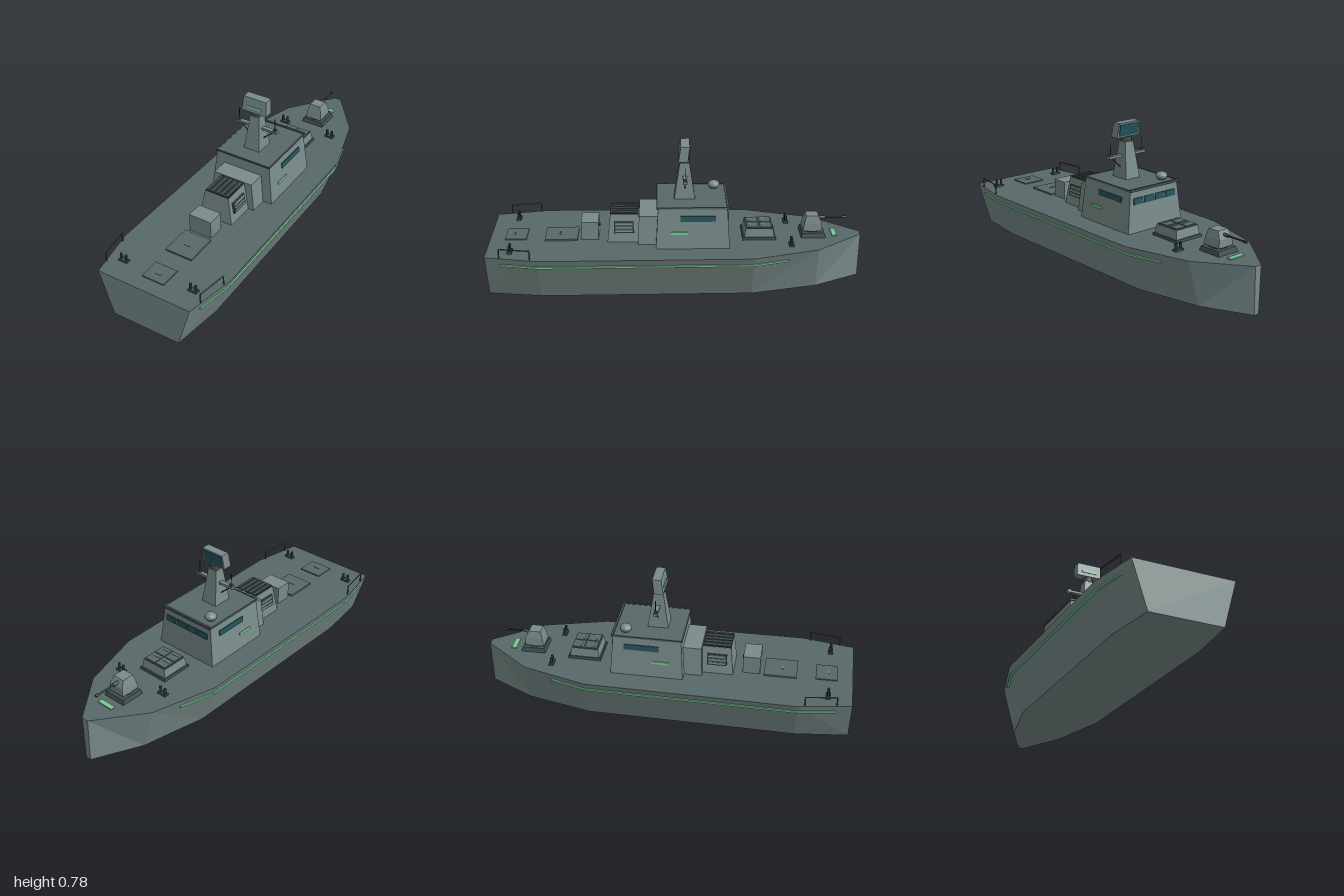
import * as THREE from 'three';

const mat = (name, color) => Object.assign(new THREE.MeshStandardMaterial({ color }), { name });

export function createModel() {
  const hullGrey = mat('hull grey', 0x7a8c8b);
  const deckGrey = mat('deck grey', 0x586868);
  const darkSteel = mat('dark steel', 0x2b3434);
  const trimGrey = mat('trim grey', 0x435050);
  const glass = mat('teal glass', 0x24545e);
  const green = mat('marking green', 0x78c898);
  const ship = new THREE.Group();
  ship.name = 'patrolShip';

  function add(name, geo, material, x = 0, y = 0, z = 0, parent = ship) {
    const m = new THREE.Mesh(geo, material);
    m.name = name;
    m.position.set(x, y, z);
    parent.add(m);
    return m;
  }
  const box = (name, material, w, h, d, x, y, z) => add(name, new THREE.BoxGeometry(w, h, d), material, x, y, z);

  // Block with sloping sides: b and t are [halfWidth, zMin, zMax] at heights y0 and y1
  function taper(name, material, y0, y1, b, t) {
    const box = new THREE.BoxGeometry(1, 1, 1);
    const p = box.attributes.position;
    for (let i = 0; i < p.count; i++) {
      const up = p.getY(i) > 0, s = up ? t : b;
      p.setXYZ(i, Math.sign(p.getX(i)) * s[0], up ? y1 : y0, p.getZ(i) < 0 ? s[1] : s[2]);
    }
    const geo = box.toNonIndexed();
    geo.computeVertexNormals();
    return add(name, geo, material);
  }

  // Round bar between two points
  function rod(name, material, a, b, r) {
    const A = new THREE.Vector3(...a), B = new THREE.Vector3(...b), d = B.clone().sub(A);
    const m = add(name, new THREE.CylinderGeometry(r, r, d.length(), 8), material);
    m.position.copy(A).add(B).multiplyScalar(0.5);
    m.quaternion.setFromUnitVectors(new THREE.Vector3(0, 1, 0), d.normalize());
    return m;
  }

  // Hull stations, stern to bow: z, deck half width, keel half width
  const H = 0.25;
  const stations = [[1, 0.27, 0.195], [0.72, 0.32, 0.23], [-0.4, 0.31, 0.22], [-0.75, 0.21, 0.14], [-1, 0.02, 0.015]];
  const sides = [], deck = [];
  const quad = (out, a, b, c, d) => out.push(...a, ...b, ...c, ...a, ...c, ...d);
  const top = (s, k) => [k * s[1], H, s[0]];
  const low = (s, k) => [k * s[2], 0, s[0]];
  for (let i = 0; i < stations.length - 1; i++) {
    const s = stations[i], n = stations[i + 1];
    quad(sides, low(s, 1), low(n, 1), top(n, 1), top(s, 1));
    sides.push(...low(s, -1), ...top(n, -1), ...low(n, -1), ...low(s, -1), ...top(s, -1), ...top(n, -1));
    quad(sides, low(s, -1), low(n, -1), low(n, 1), low(s, 1));
    quad(deck, top(s, -1), top(s, 1), top(n, 1), top(n, -1));
  }
  const [stern, bow] = [stations[0], stations[4]];
  quad(sides, low(stern, -1), low(stern, 1), top(stern, 1), top(stern, -1));
  quad(sides, low(bow, 1), low(bow, -1), top(bow, -1), top(bow, 1));
  for (const [name, arr, m] of [['hull', sides, hullGrey], ['deck', deck, deckGrey]]) {
    const g = new THREE.BufferGeometry();
    g.setAttribute('position', new THREE.Float32BufferAttribute(arr, 3));
    g.computeVertexNormals();
    add(name, g, m);
  }

  // Green rubbing strakes follow the hull side
  const strake = [[0.92, 0.274], [0.72, 0.308], [-0.4, 0.298], [-0.59, 0.245]];
  for (const k of [-1, 1]) for (let i = 0; i < 3; i++) {
    const [z0, x0] = strake[i], [z1, x1] = strake[i + 1];
    const s = box('hullStrake', green, 0.014, 0.01, Math.hypot(z1 - z0, x1 - x0), k * (x0 + x1) / 2, 0.208, (z0 + z1) / 2);
    s.rotation.y = Math.atan2(k * (x0 - x1), z0 - z1);
  }

  // Deckhouse with roof and low parapet
  taper('deckhouse', hullGrey, H, 0.47, [0.185, -0.28, 0.11], [0.16, -0.265, 0.097]);
  box('deckhouseRoof', deckGrey, 0.33, 0.008, 0.372, 0, 0.472, -0.084);
  box('roofParapetFront', trimGrey, 0.33, 0.014, 0.012, 0, 0.474, -0.268);
  box('roofParapetBack', trimGrey, 0.33, 0.01, 0.008, 0, 0.473, 0.1);
  for (const k of [-1, 1]) {
    box('roofParapetSide', trimGrey, 0.008, 0.01, 0.36, k * 0.161, 0.473, -0.084);
    box('sideWindow', glass, 0.008, 0.03, 0.185, k * 0.167, 0.415, -0.113).rotation.z = k * 0.113;
    box('sideMarking', green, 0.008, 0.014, 0.085, k * 0.1765, 0.336, -0.013).rotation.z = k * 0.113;
  }
  for (let i = 0; i < 4; i++)
    box('frontWindow', glass, 0.064, 0.034, 0.008, (i - 1.5) * 0.073, 0.415, -0.27).rotation.x = 0.068;

  // Mast, collar and radar panel
  taper('mast', hullGrey, 0.47, 0.67, [0.048, -0.1, 0.012], [0.027, -0.07, -0.018]);
  add('radarCollar', new THREE.CylinderGeometry(0.028, 0.028, 0.03, 16), trimGrey, 0, 0.683, -0.043);
  taper('radarPanel', hullGrey, 0.696, 0.776, [0.075, -0.06, -0.01], [0.068, -0.07, -0.023]);
  box('radarGlass', glass, 0.124, 0.062, 0.006, 0, 0.736, -0.066).rotation.x = -0.125;
  box('radarMarking', green, 0.09, 0.011, 0.006, 0, 0.724, -0.0145).rotation.x = -0.16;

  // Yardarm, struts and whip aerials
  box('yardarm', hullGrey, 0.25, 0.013, 0.022, 0, 0.597, -0.045);
  for (const k of [-1, 1]) {
    rod('yardStrut', trimGrey, [k * 0.1, 0.59, -0.045], [k * 0.036, 0.532, -0.045], 0.003);
    box('aerialBase', trimGrey, 0.016, 0.012, 0.016, k * 0.109, 0.608, -0.045);
    rod('aerial', darkSteel, [k * 0.109, 0.61, -0.045], [k * 0.109, 0.675, -0.045], 0.0022);
  }

  // Satellite dome
  add('domePedestal', new THREE.CylinderGeometry(0.018, 0.022, 0.014, 12), trimGrey, -0.108, 0.477, -0.205);
  add('satelliteDome', new THREE.SphereGeometry(0.032, 16, 10), hullGrey, -0.108, 0.496, -0.205).scale.y = 0.68;

  // Funnel housing with side vents and a grille on top
  taper('aftHouse', hullGrey, H, 0.407, [0.132, 0.1, 0.205], [0.114, 0.1, 0.198]);
  taper('exhaustHouse', hullGrey, H, 0.4, [0.098, 0.2, 0.368], [0.071, 0.2, 0.352]);
  box('exhaustGrille', darkSteel, 0.138, 0.006, 0.15, 0, 0.402, 0.277);
  for (let i = 0; i < 5; i++)
    box('grilleSlat', trimGrey, 0.012, 0.008, 0.14, (i - 2) * 0.029, 0.404, 0.277);
  for (const k of [-1, 1]) {
    const tilt = k * 0.178;
    box('sideVent', trimGrey, 0.01, 0.062, 0.105, k * 0.088, 0.332, 0.28).rotation.z = tilt;
    for (let i = 0; i < 3; i++)
      box('ventSlat', hullGrey, 0.01, 0.009, 0.09, k * (0.0935 - i * 0.0034), 0.313 + i * 0.019, 0.28).rotation.z = tilt;
  }

  // Locker and deck hatches
  box('deckLocker', hullGrey, 0.13, 0.1, 0.092, 0, 0.3, 0.463);
  box('lockerHandle', darkSteel, 0.02, 0.012, 0.008, 0, 0.31, 0.414);
  for (const [z, w, d, h] of [[0.617, 0.156, 0.175, 0.009], [0.862, 0.13, 0.115, 0.006]]) {
    box('deckHatch', deckGrey, w, h, d, 0, H + h / 2, z);
    box('hatchHandle', hullGrey, 0.032, 0.004, 0.006, 0, H + h + 0.002, z + 0.01);
  }

  // Twin bollards fore and aft, and stern rails
  for (const k of [-1, 1]) {
    for (const [x, z] of [[0.207, 0.875], [0.148, -0.61]]) {
      box('bollardBase', trimGrey, 0.052, 0.01, 0.026, k * x, 0.255, z);
      for (const e of [-0.015, 0.015])
        add('bollard', new THREE.CylinderGeometry(0.007, 0.007, 0.032, 10), darkSteel, k * x + e, 0.275, z);
    }
    const a = [k * 0.304, 0.302, 0.76], b = [k * 0.28, 0.302, 0.922];
    rod('sternRail', trimGrey, a, b, 0.0035);
    for (const p of [a, b]) rod('railPost', trimGrey, [p[0], H, p[2]], p, 0.0035);
  }

  // Forward launcher with four lids
  taper('launcherBase', trimGrey, H, 0.264, [0.088, -0.535, -0.355], [0.086, -0.533, -0.357]);
  taper('launcher', hullGrey, 0.264, 0.31, [0.08, -0.526, -0.364], [0.074, -0.518, -0.372]);
  box('launcherTop', trimGrey, 0.146, 0.004, 0.142, 0, 0.311, -0.445);
  for (const x of [-0.035, 0.035]) for (const z of [-0.48, -0.41]) {
    box('launcherLid', deckGrey, 0.063, 0.006, 0.061, x, 0.314, z);
    box('lidHandle', hullGrey, 0.04, 0.003, 0.005, x, 0.318, z + 0.012);
  }

  // Bow gun
  taper('gunPlinth', trimGrey, H, 0.275, [0.066, -0.805, -0.672], [0.06, -0.798, -0.678]);
  add('gunRing', new THREE.CylinderGeometry(0.046, 0.046, 0.012, 16), darkSteel, 0, 0.28, -0.735);
  taper('gunTurretLower', hullGrey, 0.283, 0.325, [0.048, -0.787, -0.682], [0.043, -0.785, -0.69]);
  taper('gunTurretUpper', hullGrey, 0.325, 0.365, [0.043, -0.785, -0.69], [0.033, -0.765, -0.7]);
  rod('gunBarrel', darkSteel, [0, 0.343, -0.76], [0, 0.343, -0.915], 0.0045);
  rod('gunMuzzle', darkSteel, [0, 0.343, -0.9], [0, 0.343, -0.92], 0.0075);
  rod('gunSleeve', trimGrey, [0, 0.343, -0.76], [0, 0.343, -0.805], 0.009);

  // Bow marking
  box('bowMarking', green, 0.094, 0.006, 0.026, 0, 0.253, -0.855);
  return ship;
}
